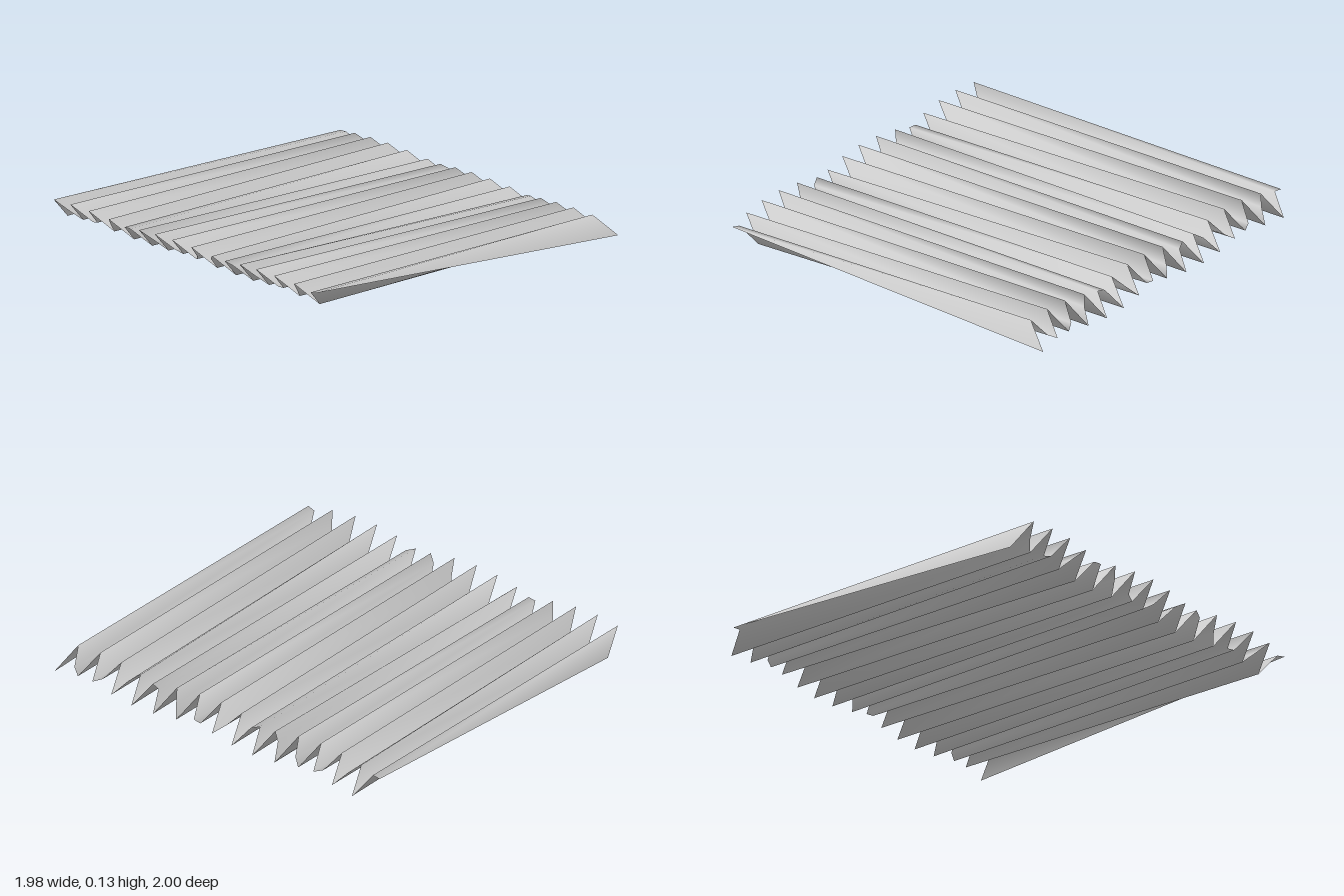
import * as THREE from 'three';

const ROWS = 44;          // strips across the corrugation
const PERIOD = 0.126;     // spacing of the ridges
const PEAK = -0.441;      // z of one ridge crest
const HEIGHT = 0.128;

export function createModel() {
  const group = new THREE.Group();

  // Flat sheet with a single long strip per row, folded into slanted waves
  const geometry = new THREE.PlaneGeometry(1, 1, 1, ROWS).rotateX(-Math.PI / 2);
  const p = geometry.attributes.position;
  for (let i = 0; i < p.count; i++) {
    const u = p.getX(i) + 0.5;
    const t = p.getZ(i) + 0.5;
    // slightly turned base sheet
    const z = -1 + 0.032 * u + 1.966 * t;
    const x = -0.853 + 1.821 * u - 0.018 * z;
    // wave height, leaning towards -x as it rises
    const h = HEIGHT * (0.5 + 0.5 * Math.cos((2 * Math.PI * (z - PEAK)) / PERIOD));
    p.setXYZ(i, x - 1.03 * h, h, z - 0.1 * h);
  }
  geometry.computeVertexNormals();

  const sheet = new THREE.Mesh(
    geometry,
    new THREE.MeshStandardMaterial({ color: 0xcccccc, side: THREE.DoubleSide })
  );
  sheet.name = 'corrugatedSheet';
  group.add(sheet);
  return group;
}
